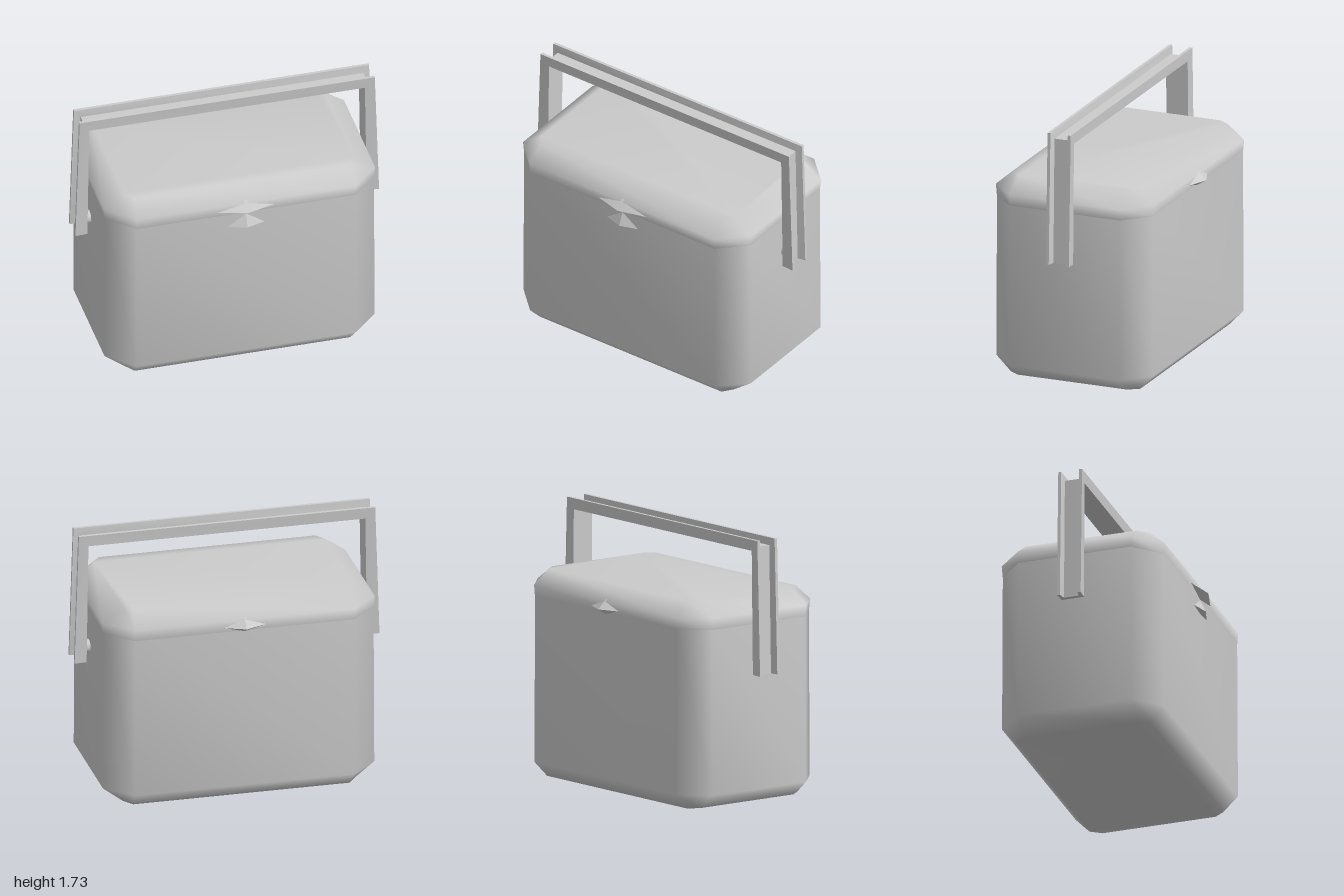
import * as THREE from 'three';
import { toCreasedNormals } from 'three/addons/utils/BufferGeometryUtils.js';

const material = new THREE.MeshStandardMaterial({ color: 0xcccccc, side: THREE.DoubleSide });

function addMesh(group, name, geometry) {
  const mesh = new THREE.Mesh(geometry, material);
  mesh.name = name;
  group.add(mesh);
  return mesh;
}

function indexed(points, index) {
  const g = new THREE.BufferGeometry();
  g.setAttribute('position', new THREE.Float32BufferAttribute(points.flat(), 3));
  g.setIndex(index);
  g.computeVertexNormals();
  return g;
}

// Skin a stack of closed rings; optionally close the first and last ring
function loft(rings, capStart, capEnd) {
  const n = rings[0].length, last = (rings.length - 1) * n, index = [];
  for (let r = 0; r < rings.length - 1; r++) {
    for (let i = 0; i < n; i++) {
      const a = r * n + i, b = r * n + (i + 1) % n;
      index.push(a, a + n, b, b, a + n, b + n);
    }
  }
  for (let i = 1; i < n - 1; i++) {
    if (capStart) index.push(0, i, i + 1);
    if (capEnd) index.push(last, last + i + 1, last + i);
  }
  return indexed(rings.flat(), index);
}

// Horizontal rectangle with cut corners: half sizes x, z and straight runs cx, cz
function octagon(y, x, z, cx, cz) {
  return [[x, cz], [x, -cz], [cx, -z], [-cx, -z], [-x, -cz], [-x, cz], [-cx, z], [cx, z]]
    .map(([px, pz]) => [px, y, pz]);
}

// Shallow four-sided latch lip: half width w, tip at (tipY, tipZ)
function lip(w, top, tipY, bottom, baseZ, tipZ) {
  return toCreasedNormals(indexed(
    [[-w, tipY, baseZ], [0, bottom, baseZ], [w, tipY, baseZ], [0, top, baseZ], [0, tipY, tipZ]],
    [0, 1, 4, 1, 2, 4, 2, 3, 4, 3, 0, 4]), 0.5);
}

export function createModel() {
  const model = new THREE.Group();
  model.name = 'coolBox';

  // Tub with bevelled base
  addMesh(model, 'tub', loft([
    octagon(0, 0.76, 0.45, 0.71, 0.38),
    octagon(0.1, 0.89, 0.545, 0.72, 0.38),
    octagon(1.2, 0.885, 0.54, 0.72, 0.38),
  ], true, false));

  // Lid with bevelled top
  addMesh(model, 'lid', loft([
    octagon(1.17, 0.885, 0.541, 0.72, 0.38),
    octagon(1.245, 0.893, 0.548, 0.72, 0.38),
    octagon(1.34, 0.76, 0.44, 0.71, 0.37),
  ], false, true));

  // Lips at the middle of the lid, front and back, and the catch below the front one
  addMesh(model, 'frontLip', lip(0.22, 1.26, 1.2, 1.16, 0.535, 0.595));
  addMesh(model, 'frontCatch', lip(0.14, 1.17, 1.075, 1.06, 0.535, 0.578));
  addMesh(model, 'backLip', lip(0.16, 1.26, 1.2, 1.16, 0.535, 0.6)).rotation.y = Math.PI;

  // Handle: channel section, open to the outside, mitred at both corners
  const outer = [[-1, 0.85], [-0.972, 1.725], [0.972, 1.725], [1, 0.85]];
  const inner = [[-0.92, 0.85], [-0.908, 1.652], [0.908, 1.652], [0.92, 0.85]];
  const section = [[0, 0.08], [0, 0.06], [0.65, 0.05], [0.65, -0.05],
    [0, -0.06], [0, -0.08], [1, -0.075], [1, 0.075]];
  const rings = outer.map(([ox, oy], i) => section.map(([t, z]) =>
    [ox + (inner[i][0] - ox) * t, oy + (inner[i][1] - oy) * t, z]));
  const handle = loft(rings, false, false);
  // End caps split into floor and two walls
  const index = [...handle.index.array];
  for (const [a, b, c, d] of [[0, 1, 2, 7], [2, 3, 6, 7], [3, 4, 5, 6]]) {
    index.push(a, b, c, a, c, d);
    index.push(24 + a, 24 + c, 24 + b, 24 + a, 24 + d, 24 + c);
  }
  handle.setIndex(index);
  addMesh(model, 'handle', toCreasedNormals(handle, 0.6));

  // Pivot pins between tub and handle
  for (const side of [-1, 1]) {
    const pin = addMesh(model, side > 0 ? 'leftPivot' : 'rightPivot',
      toCreasedNormals(new THREE.CylinderGeometry(0.045, 0.045, 0.07, 10), 0.8));
    pin.rotation.z = Math.PI / 2;
    pin.position.set(side * 0.905, 0.93, 0);
  }
  return model;
}
